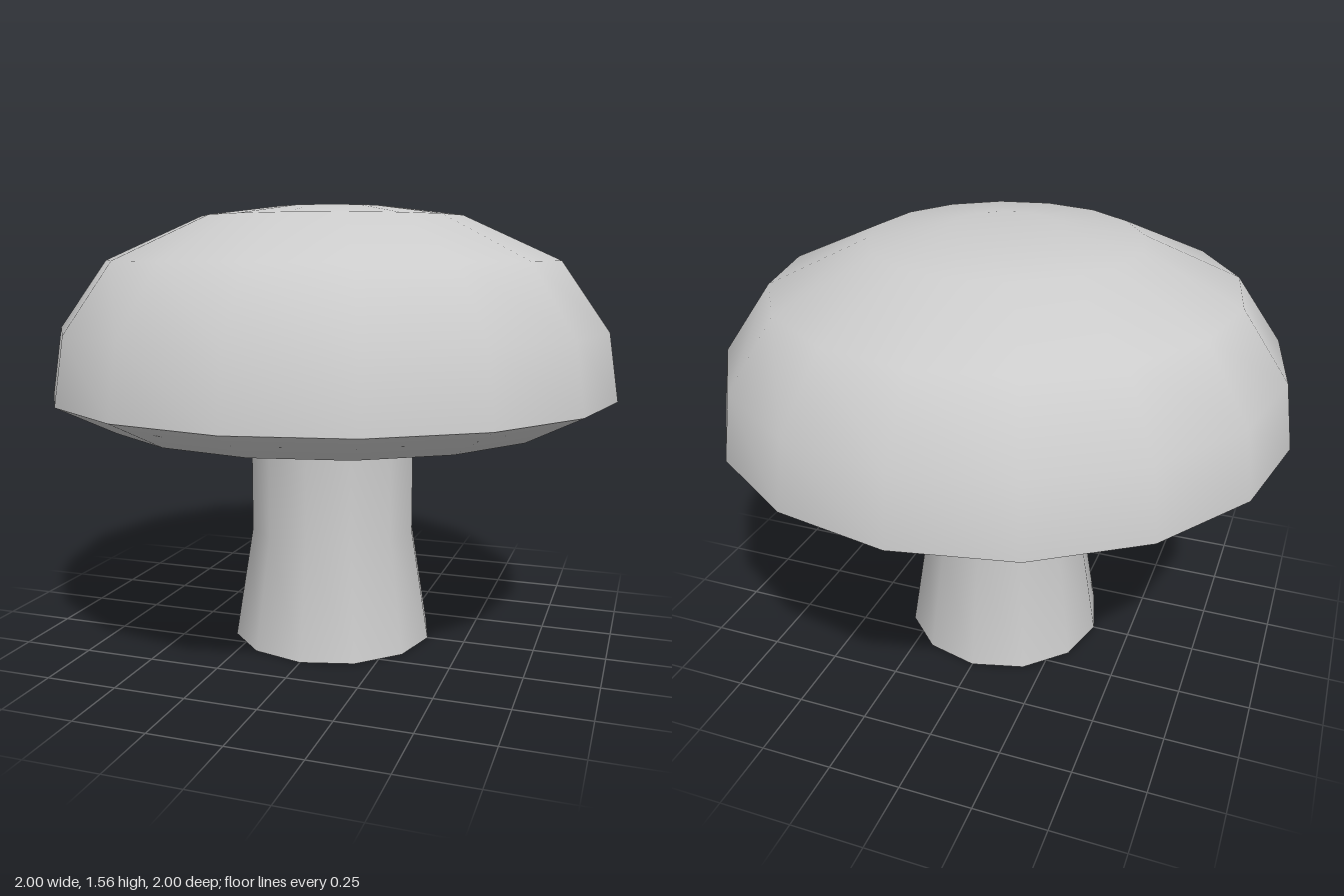
import * as THREE from 'three';

const material = new THREE.MeshStandardMaterial({ color: 0xcccccc });

// Revolve a profile of [radius, height] points, listed from bottom to top of the outside
function lathe(name, profile, sides) {
  const points = profile.map(([r, y]) => new THREE.Vector2(r, y));
  const mesh = new THREE.Mesh(new THREE.LatheGeometry(points, sides), material);
  mesh.name = name;
  return mesh;
}

export function createModel() {
  const model = new THREE.Group();
  model.name = 'mushroom';

  // Cap: smooth dome and underside, meeting in a sharp rim
  const cap = new THREE.Group();
  cap.name = 'cap';
  cap.add(
    lathe('capDome', [[1, 0.905], [0.965, 1.135], [0.8, 1.37], [0.465, 1.522], [0.195, 1.556], [0, 1.556]], 16),
    lathe('capUnderside', [[0, 0.805], [0.8, 0.805], [1, 0.905]], 16)
  );

  // Stem: straight above, flared towards the foot, closed by a flat base
  const stem = new THREE.Group();
  stem.name = 'stem';
  stem.add(
    lathe('stemSide', [[0.365, 0], [0.3, 0.4], [0.3, 0.805]], 12),
    lathe('stemBase', [[0, 0], [0.365, 0]], 12)
  );

  model.add(cap, stem);
  return model;
}
